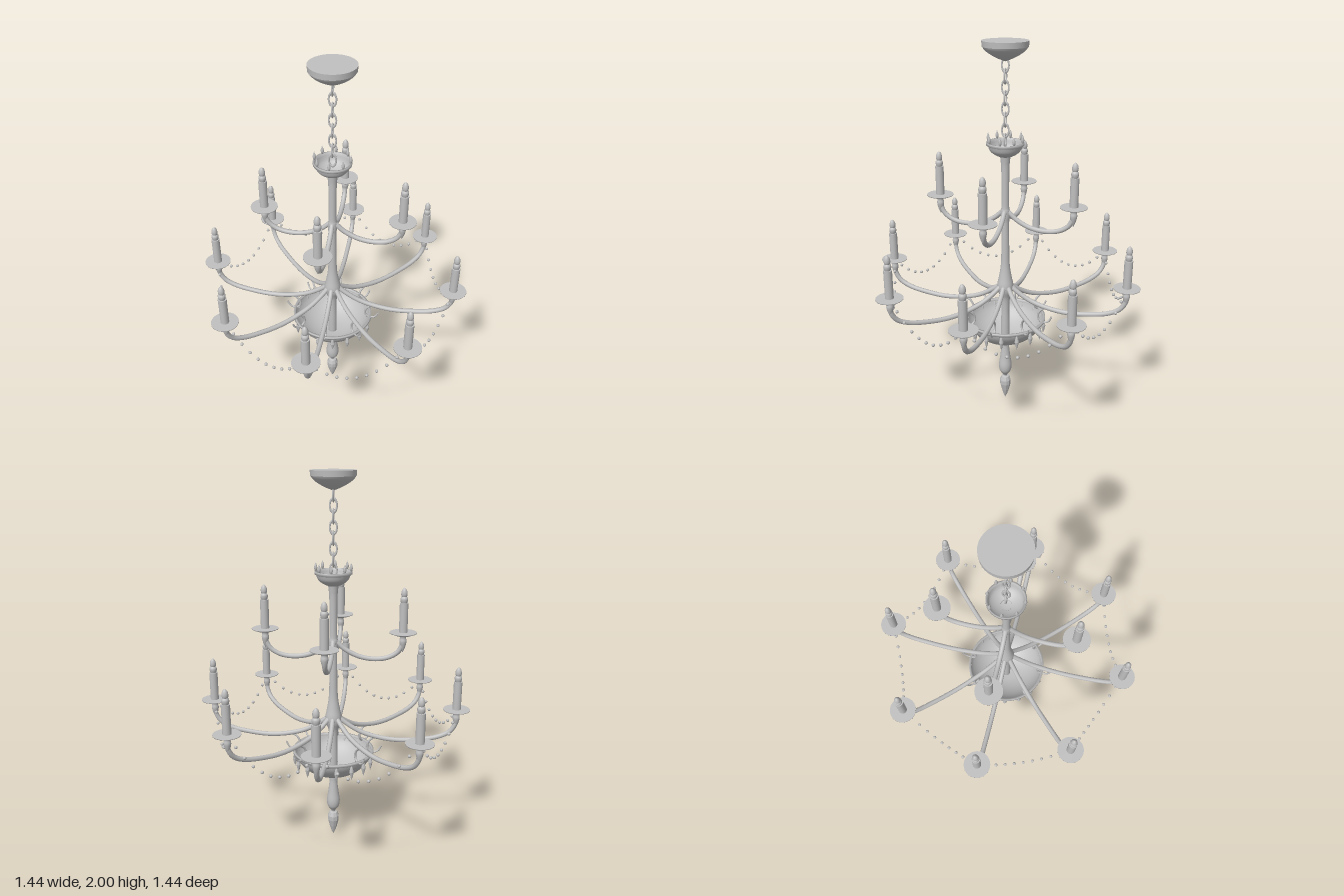
import * as THREE from 'three';

const metal = new THREE.MeshStandardMaterial({ color: 0xc0c0c0, side: THREE.DoubleSide });
metal.name = 'light grey metal';

const V = (x, y, z = 0) => new THREE.Vector3(x, y, z);

function part(name, geometry, parent) {
  const mesh = new THREE.Mesh(geometry, metal);
  mesh.name = name;
  parent.add(mesh);
  return mesh;
}

// Turned part from [radius, height] pairs, optionally smoothed into a curve
function lathe(points, segments = 24, smooth = false) {
  let p = points.map(([r, y]) => new THREE.Vector2(r, y));
  if (smooth) p = new THREE.SplineCurve(p).getPoints(points.length * 4);
  p.forEach((q) => { q.x = Math.max(q.x, 0); });
  return new THREE.LatheGeometry(p, segments);
}

function faceted(geometry) {
  const g = geometry.toNonIndexed();
  g.computeVertexNormals();
  return g;
}

function tube(points, radius, steps = 28) {
  return new THREE.TubeGeometry(new THREE.CatmullRomCurve3(points.map(([x, y]) => V(x, y))), steps, radius, 8);
}

// Repeats a builder around the vertical axis
function ring(parent, name, count, offset, build) {
  for (let i = 0; i < count; i++) {
    const g = new THREE.Group();
    g.name = name;
    g.rotation.y = offset + (i / count) * Math.PI * 2;
    build(g);
    parent.add(g);
  }
}

// Dish, cup, candle and bulb standing at the end of an arm
function candleHolder(parent, r, y) {
  const g = new THREE.Group();
  g.name = 'candleHolder';
  g.position.set(r, y, 0);
  part('cup', lathe([[0, -0.105], [0.007, -0.09], [0.014, -0.07], [0.019, -0.045], [0.016, -0.025], [0.022, -0.008]], 14, true), g);
  part('dish', lathe([[0, -0.012], [0.045, -0.01], [0.07, 0], [0.07, 0.003]], 28), g);
  const top = part('dishTop', new THREE.CircleGeometry(0.07, 28), g);
  top.rotation.x = -Math.PI / 2;
  top.position.y = 0.003;
  part('candle', new THREE.CylinderGeometry(0.022, 0.022, 0.152, 18), g).position.y = 0.08;
  part('socket', lathe([[0.015, 0.154], [0.019, 0.168], [0.019, 0.18], [0.013, 0.19]], 14, true), g);
  part('bulb', lathe([[0.012, 0.186], [0.016, 0.197], [0.016, 0.21], [0.012, 0.223], [0.006, 0.231], [0, 0.235]], 14, true), g);
  parent.add(g);
}

export function createModel() {
  const model = new THREE.Group();
  model.name = 'chandelier';

  // Ceiling canopy
  part('canopyRim', new THREE.CylinderGeometry(0.115, 0.113, 0.028, 36), model).position.y = 1.986;
  part('canopy', lathe([[0, 1.902], [0.016, 1.908], [0.045, 1.92], [0.08, 1.94], [0.102, 1.958], [0.112, 1.973]], 36, true), model);

  // Chain of alternating oval links
  const link = new THREE.TorusGeometry(0.018, 0.0045, 8, 20);
  link.scale(1, 1.8, 1);
  for (let i = 0; i < 8; i++) {
    const m = part('chainLink', link, model);
    m.position.y = 1.885 - i * 0.053;
    m.rotation.y = Math.PI / 4 + (i % 2) * Math.PI / 2;
  }

  // Small crown bowl with pointed drops on its rim
  part('crownBowl', lathe([[0, 1.43], [0.025, 1.433], [0.055, 1.446], [0.078, 1.466], [0.088, 1.492]], 32, true), model);
  part('crownRim', lathe([[0.084, 1.49], [0.096, 1.494], [0.096, 1.508], [0.088, 1.508], [0.084, 1.49]], 32), model);
  const spike = lathe([[0, 0], [0.006, 0.012], [0.009, 0.024], [0.005, 0.038], [0, 0.052]], 8);
  ring(model, 'crownSpike', 8, 0, (g) => part('spike', spike, g).position.set(0.09, 1.5, 0));

  // Central stem, swelling at the hub
  part('stem', lathe([[0.028, 1.44], [0.024, 1.41], [0.021, 1.36], [0.02, 1.18], [0.024, 1.145], [0.024, 1.11],
    [0.02, 1.07], [0.021, 0.95], [0.024, 0.84], [0.034, 0.77], [0.044, 0.72], [0.041, 0.685],
    [0.026, 0.64], [0.022, 0.57], [0.024, 0.48], [0.024, 0.4]], 20, true), model);

  // Lower bowl and its rim
  part('lowerBowl', lathe([[0.02, 0.387], [0.07, 0.393], [0.12, 0.412], [0.165, 0.444], [0.198, 0.485], [0.212, 0.522]], 44, true), model);
  part('lowerRim', lathe([[0.208, 0.518], [0.22, 0.518], [0.22, 0.532], [0.208, 0.532], [0.208, 0.518]], 44), model);

  // Faceted drops around the lower bowl
  const drop = faceted(lathe([[0, -0.088], [0.007, -0.066], [0.012, -0.042], [0.007, -0.018], [0, 0]], 8));
  ring(model, 'bowlDrop', 16, Math.PI / 16, (g) => part('drop', drop, g).position.set(0.21, 0.522, 0));

  // Curved straps hanging the bowl from the arms, and hooks curling out from the rim
  const strap = tube([[0.23, 0.615], [0.2, 0.593], [0.186, 0.567], [0.188, 0.542], [0.206, 0.524]], 0.006, 18);
  const hook = tube([[0.19, 0.527], [0.225, 0.523], [0.245, 0.533], [0.26, 0.56]], 0.005, 12);
  ring(model, 'bowlScroll', 8, 0, (g) => {
    part('strap', strap, g);
    part('hook', hook, g);
  });

  // Baluster and pointed finial under the bowl
  part('baluster', lathe([[0.024, 0.4], [0.022, 0.36], [0.022, 0.33], [0.029, 0.27], [0.036, 0.22], [0.032, 0.185], [0.018, 0.163], [0.01, 0.15], [0.012, 0.135]], 20, true), model);
  part('finial', faceted(lathe([[0, 0], [0.01, 0.022], [0.021, 0.055], [0.031, 0.095], [0.031, 0.12], [0.022, 0.142], [0, 0.15]], 10)), model);

  // Eight long lower arms
  const lowerArm = tube([[0.02, 0.725], [0.07, 0.684], [0.15, 0.638], [0.25, 0.61], [0.35, 0.6], [0.46, 0.609],
    [0.56, 0.63], [0.62, 0.662], [0.648, 0.705], [0.654, 0.755]], 0.013, 44);
  ring(model, 'lowerArm', 8, 0, (g) => {
    part('arm', lowerArm, g);
    candleHolder(g, 0.652, 0.788);
  });

  // Four short upper arms on the diagonals
  const upperArm = tube([[0.015, 1.14], [0.06, 1.1], [0.13, 1.065], [0.21, 1.052], [0.285, 1.063], [0.336, 1.095],
    [0.358, 1.14], [0.36, 1.17]], 0.013, 36);
  ring(model, 'upperArm', 4, Math.PI / 4, (g) => {
    part('arm', upperArm, g);
    candleHolder(g, 0.36, 1.197);
  });

  // Strands of beads hanging between neighbouring lower arms
  const bead = new THREE.SphereGeometry(0.0085, 10, 8);
  const a = V(0.652, 0), b = V(0.652, 0).applyAxisAngle(V(0, 1), Math.PI / 4);
  ring(model, 'beadStrand', 8, 0, (g) => {
    for (let k = 1; k <= 9; k++) {
      const t = k / 10;
      const p = a.clone().lerp(b, t);
      p.y = 0.63 + 0.16 * (2 * t - 1) ** 2;
      part('bead', bead, g).position.copy(p);
    }
  });

  return model;
}
